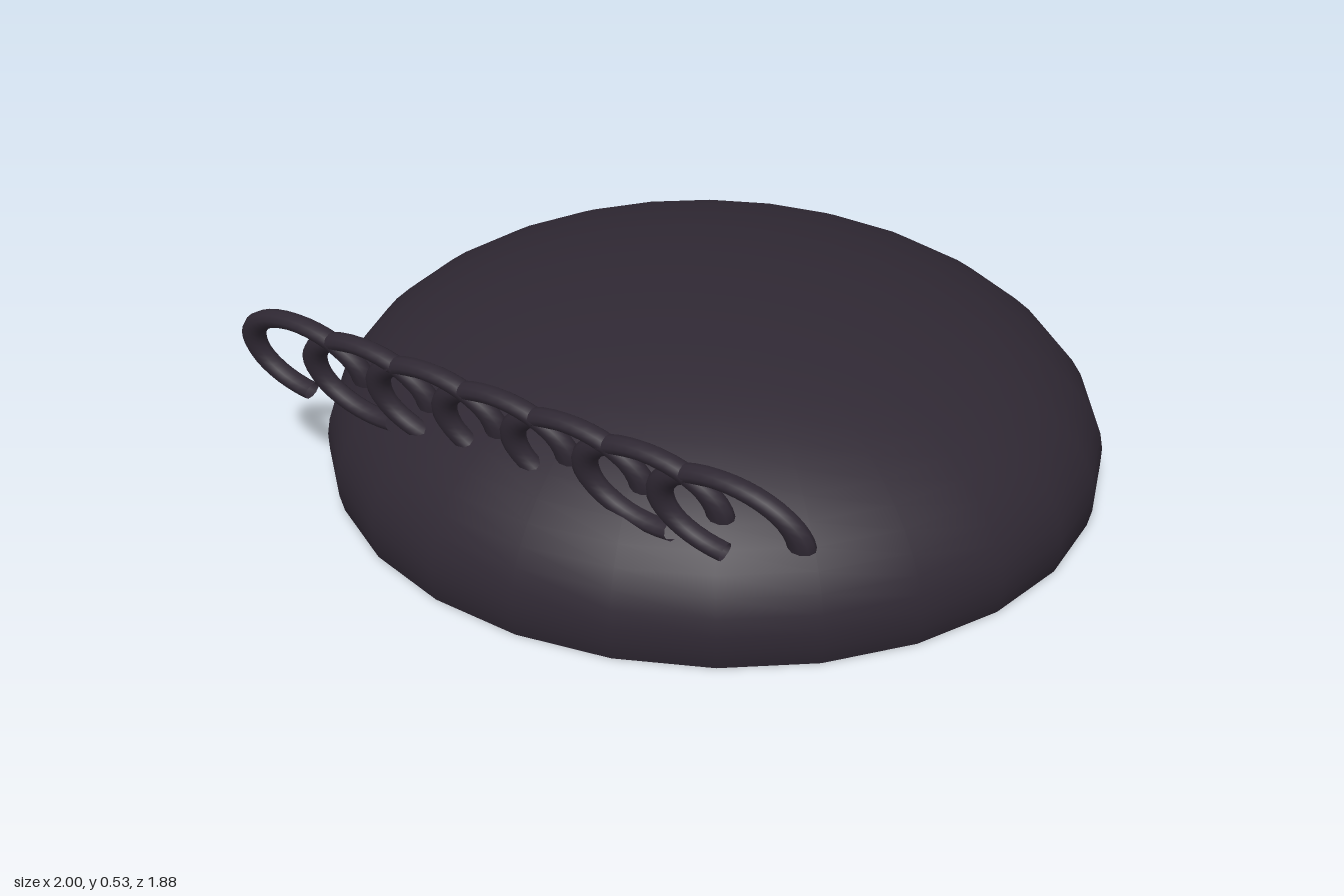
import * as THREE from 'three';

export function createModel() {
  const group = new THREE.Group();
  const material = new THREE.MeshStandardMaterial({ color: 0x2f2833, side: THREE.DoubleSide });

  // Open, flattened cap reaching slightly past its widest line
  const capGeometry = new THREE.SphereGeometry(1, 26, 18, 0, Math.PI * 2, 0, Math.PI * 0.55);
  capGeometry.scale(1, 0.458, 0.95);
  const cap = new THREE.Mesh(capGeometry, material);
  cap.name = 'hairCap';
  cap.position.y = 0.072;
  group.add(cap);

  // Row of overlapping C-shaped curls, leaning forward at the top
  const fringe = new THREE.Group();
  fringe.name = 'curlyFringe';
  fringe.position.set(-0.022, 0.397, 0.77);
  fringe.rotation.x = 0.225;
  const count = 7;
  for (let i = 0; i < count; i++) {
    const nextToEnd = i === 1 || i === count - 2;
    const arc = Math.PI * (nextToEnd ? 1.56 : 1.45);
    const geometry = new THREE.TorusGeometry(0.183, 0.034, 10, 28, arc);
    geometry.scale(1, 0.6, 0.72);
    const curl = new THREE.Mesh(geometry, material);
    curl.name = `curl${i + 1}`;
    curl.position.x = (i - (count - 1) / 2) * 0.205;
    fringe.add(curl);
  }
  group.add(fringe);

  return group;
}
